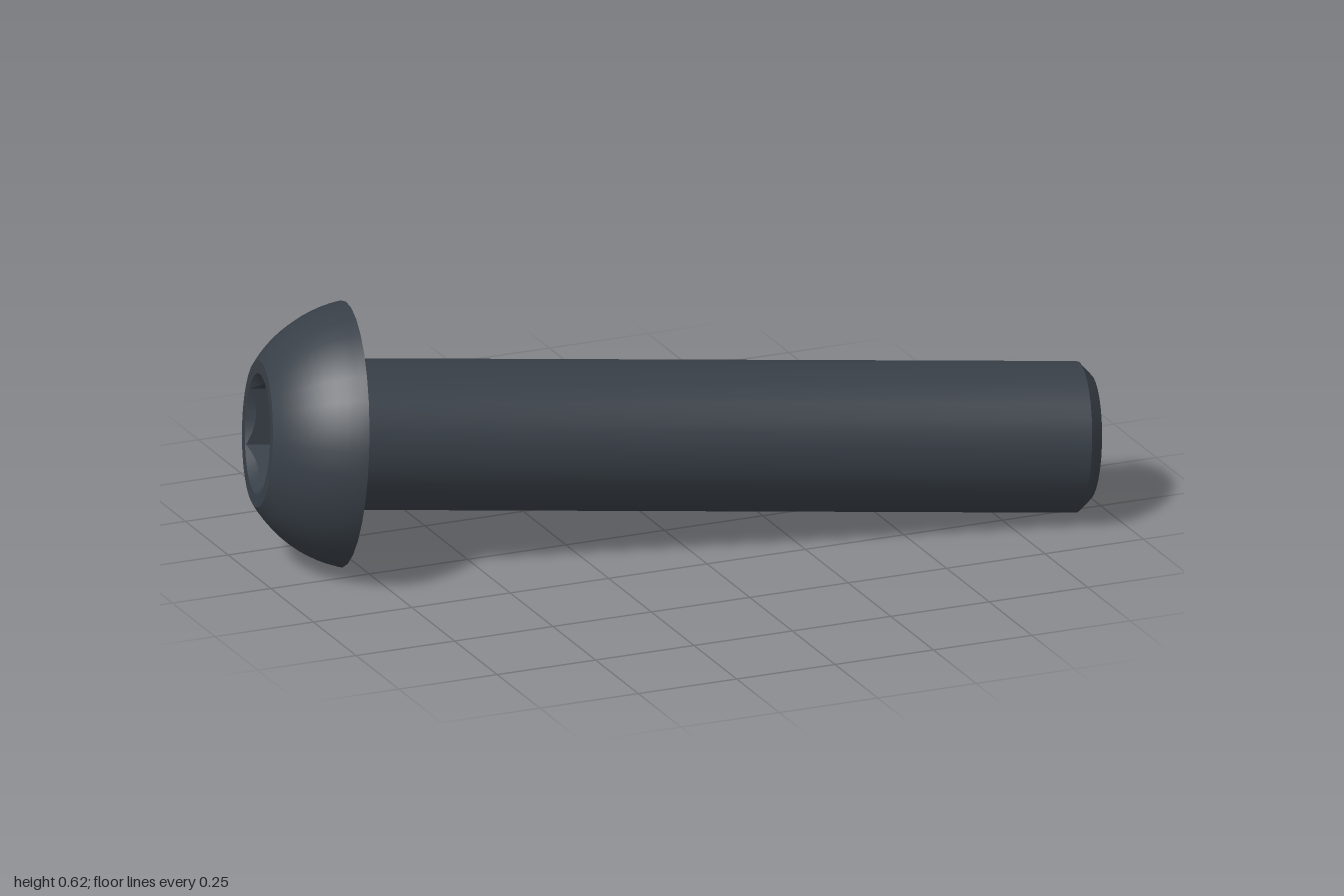
import * as THREE from 'three';
import { toCreasedNormals } from 'three/addons/utils/BufferGeometryUtils.js';

// Dimensions along the bolt axis (local +y runs from head to tip, y = 0 under the head)
const RIM = 0.312, CROWN = 0.172, HEAD_H = 0.2;
const SHANK = 0.177, LENGTH = 1.782, CHAMFER = 0.03, FILLET = 0.015;
const HEX = 0.139, MOUTH = 0.141, SOCKET_FLOOR = -0.08;

const lathe = (points, sides) =>
  new THREE.LatheGeometry(points.map(([r, y]) => new THREE.Vector2(r, y)), sides);

function headGeometry() {
  // Flat crown ring, spherical dome, flat underside
  const c = 0.069, R = Math.hypot(RIM, c);
  const a0 = Math.atan2(CROWN, HEAD_H + c), a1 = Math.atan2(RIM, c);
  const points = [[MOUTH, -HEAD_H]];
  for (let i = 0; i <= 10; i++) {
    const a = a0 + (a1 - a0) * i / 10;
    points.push([R * Math.sin(a), c - R * Math.cos(a)]);
  }
  points.push([SHANK + FILLET, 0]);
  return lathe(points, 32);
}

function shankGeometry() {
  // Small fillet under the head, straight shank, chamfered tip
  const points = [];
  for (let i = 0; i <= 4; i++) {
    const a = i / 4 * Math.PI / 2;
    points.push([SHANK + FILLET * (1 - Math.sin(a)), FILLET * (1 - Math.cos(a))]);
  }
  points.push([SHANK, LENGTH - CHAMFER], [SHANK - CHAMFER, LENGTH], [0, LENGTH]);
  return lathe(points, 32);
}

function socketGeometry() {
  // Floor, walls and countersink; the middle rings are pulled into a hexagon
  const geo = lathe([[0, SOCKET_FLOOR], [HEX, SOCKET_FLOOR], [HEX, -HEAD_H], [MOUTH, -HEAD_H]], 96);
  const pos = geo.attributes.position;
  const sector = Math.PI / 3;
  for (let i = 0; i < pos.count; i++) {
    const ring = i % 4;
    if (ring !== 1 && ring !== 2) continue;
    const phi = Math.floor(i / 4) / 96 * Math.PI * 2;
    const r = HEX * Math.cos(sector / 2) / Math.cos((phi % sector) - sector / 2);
    const y = ring === 1 ? SOCKET_FLOOR : -HEAD_H + (MOUTH - r);
    pos.setXYZ(i, r * Math.sin(phi), y, r * Math.cos(phi));
  }
  return geo;
}

export function createModel() {
  const steel = new THREE.MeshStandardMaterial({ color: 0x383f47 });
  steel.name = 'darkSteel';

  const bolt = new THREE.Group();
  bolt.name = 'bolt';
  const parts = { head: headGeometry(), shank: shankGeometry(), hexSocket: socketGeometry() };
  for (const [name, geo] of Object.entries(parts)) {
    const mesh = new THREE.Mesh(toCreasedNormals(geo, Math.PI / 6), steel);
    mesh.name = name;
    bolt.add(mesh);
  }

  // Lay the bolt down, resting on its head rim and tip, with a socket corner upward
  const axis = new THREE.Vector3(0.975, -0.0752, 0.209).normalize();
  const up = new THREE.Vector3(0, 1, 0).addScaledVector(axis, -axis.y).normalize();
  const side = new THREE.Vector3().crossVectors(axis, up);
  bolt.quaternion.setFromRotationMatrix(new THREE.Matrix4().makeBasis(side, axis, up));
  bolt.position.set(-0.77, 0.311, -0.1165);

  const model = new THREE.Group();
  model.name = 'buttonHeadBolt';
  model.add(bolt);
  return model;
}
